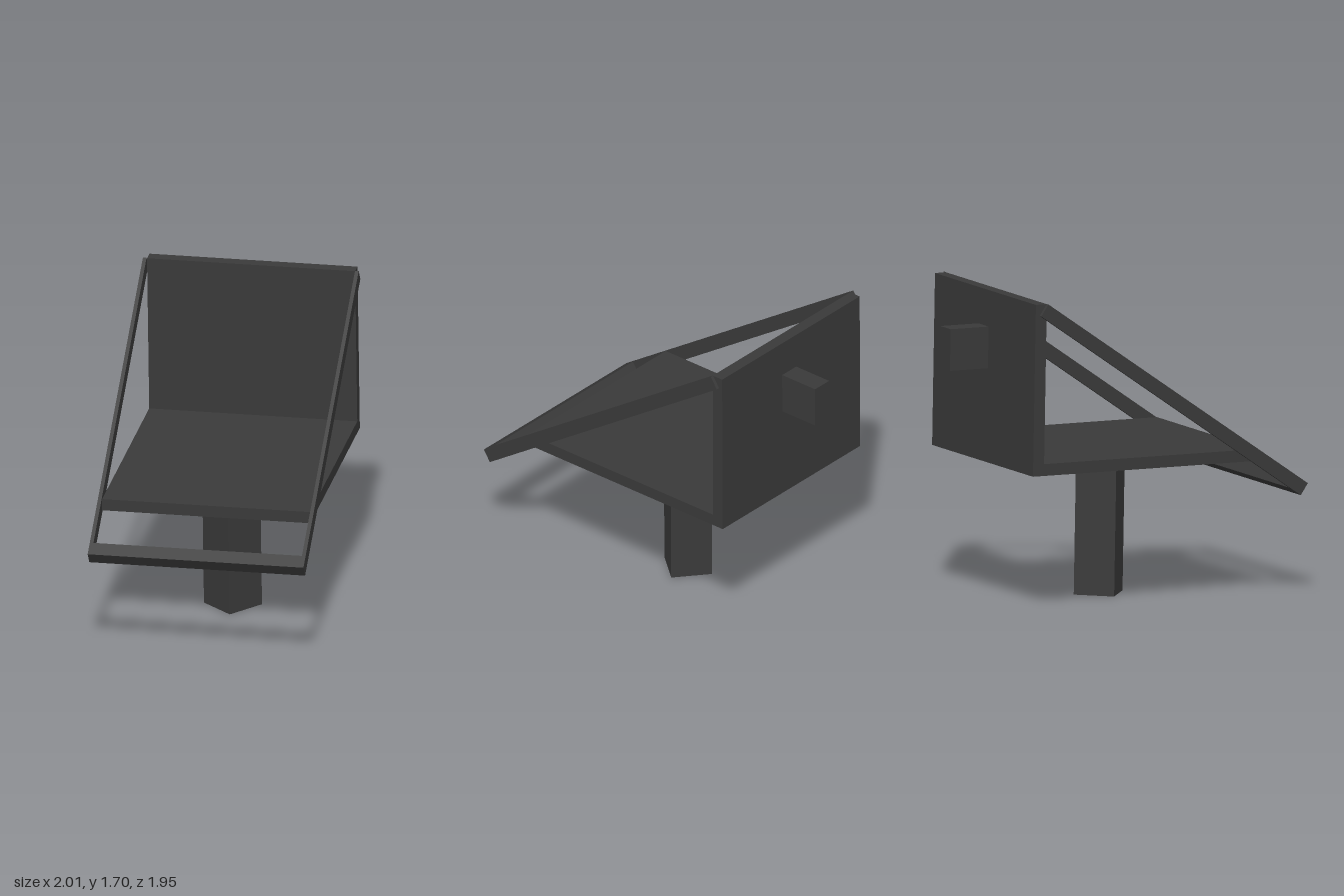
import * as THREE from 'three';

export function createModel() {
  const model = new THREE.Group();
  model.name = 'slopedFrameStand';
  const charcoal = new THREE.MeshStandardMaterial({ color: 0x3a3a3a });
  charcoal.name = 'charcoal';

  const addBox = (parent, name, size, position) => {
    const mesh = new THREE.Mesh(new THREE.BoxGeometry(...size), charcoal);
    mesh.name = name;
    mesh.position.set(...position);
    parent.add(mesh);
    return mesh;
  };

  // Whole assembly leans very slightly sideways
  const lean = new THREE.Group();
  lean.name = 'leaningAssembly';
  lean.rotation.z = 0.017;
  model.add(lean);

  // Square post, not turned with the tray
  addBox(lean, 'post', [0.22, 0.76, 0.22], [0.1, 0.38, -0.07]);

  // Tray, turned about the vertical axis
  const tray = new THREE.Group();
  tray.name = 'tray';
  tray.rotation.y = -0.871;
  lean.add(tray);
  addBox(tray, 'basePlate', [1.13, 0.064, 1.36], [0.003, 0.789, -0.16]);
  addBox(tray, 'backPanel', [1.13, 0.928, 0.066], [0.003, 1.221, -0.807]);
  addBox(tray, 'rearKnob', [0.115, 0.225, 0.24], [0.018, 1.376, -0.95]);

  // Sloping frame: front bar with an arm on each side up to the panel top
  const frame = new THREE.Group();
  frame.name = 'slopingFrame';
  frame.position.set(0.001, 0.611, 0.763);
  frame.rotation.x = 0.59;
  tray.add(frame);
  const bar = 0.075, armLength = 1.915;
  addBox(frame, 'frontBar', [1.132, bar, bar], [0, 0, 0]);
  for (const side of [-1, 1]) {
    addBox(frame, side < 0 ? 'rightArm' : 'leftArm', [0.02, bar, armLength],
      [side * 0.576, 0, bar / 2 - armLength / 2]);
  }
  return model;
}
